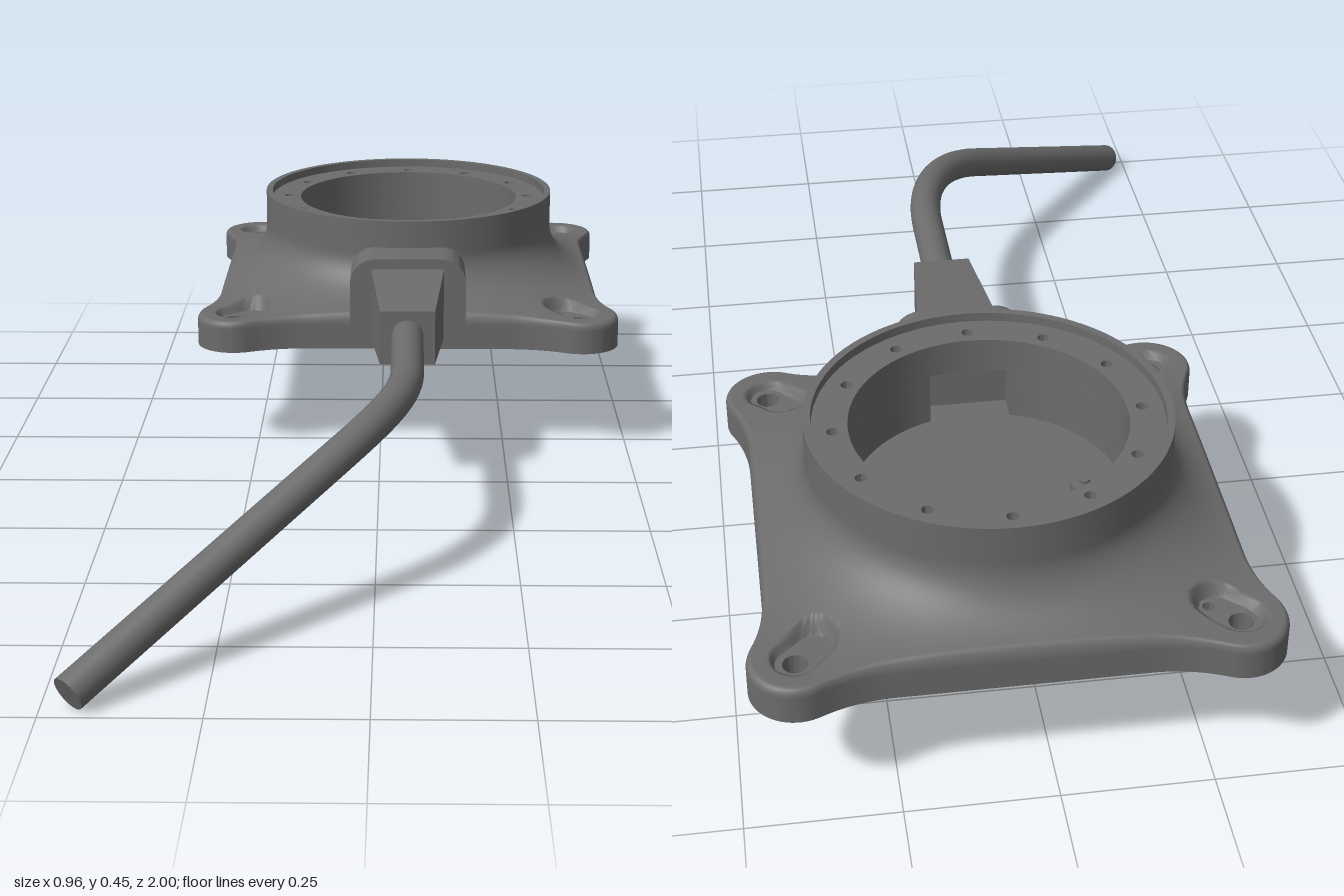
import * as THREE from 'three';
import { toCreasedNormals } from 'three/addons/utils/BufferGeometryUtils.js';

const DARK = 0x6c6c6c;
const grey = new THREE.MeshStandardMaterial({ color: DARK });
const greyDouble = new THREE.MeshStandardMaterial({ color: DARK, side: THREE.DoubleSide });
const greyInside = new THREE.MeshStandardMaterial({ color: DARK, side: THREE.BackSide });

const HOLE = 0.3475;              // screw hole offset from the base centre
const BOTTOM = 0.213, DECK = 0.262, RING = 0.303;
const V2 = (x, y) => new THREE.Vector2(x, y);

function add(parent, name, geometry, material = grey) {
  const mesh = new THREE.Mesh(geometry, material);
  mesh.name = name;
  parent.add(mesh);
  return mesh;
}

function circleHole(x, y, r) {
  return new THREE.Path().absarc(x, y, r, 0, Math.PI * 2, true);
}

// Horizontal slab from a plan shape
function slab(shape, y, depth) {
  const g = new THREE.ExtrudeGeometry(shape, { depth, bevelEnabled: false, curveSegments: 24 });
  g.rotateX(-Math.PI / 2).translate(0, y, 0);
  return toCreasedNormals(g, 0.6);
}

// Square plan with rounded corner lugs and hollowed sides
function outlinePoints(count) {
  const s = new THREE.Shape();
  const a = THREE.MathUtils.degToRad(25), o = V2(0, 0);
  const P = (x, y, k) => V2(x, y).rotateAround(o, k * Math.PI / 2);
  for (let k = 0; k < 4; k++) {
    const p0 = P(0.39, -0.2, k), p1 = P(0.39, 0.2, k), c = P(0.39, 0.26, k);
    const e = P(HOLE + 0.075 * Math.cos(a), HOLE - 0.075 * Math.sin(a), k);
    if (k === 0) s.moveTo(p0.x, p0.y);
    s.lineTo(p1.x, p1.y);
    s.quadraticCurveTo(c.x, c.y, e.x, e.y);
    const m = P(HOLE, HOLE, k), t = k * Math.PI / 2;
    s.absarc(m.x, m.y, 0.075, t - a, t + Math.PI / 2 + a, false);
    const c2 = P(0.26, 0.39, k), q = P(0.2, 0.39, k);
    s.quadraticCurveTo(c2.x, c2.y, q.x, q.y);
  }
  const pts = s.getSpacedPoints(count);
  pts.pop();
  return pts;
}

// Distance from the slot axis that joins a screw hole to its dowel hole
function slotDistance(x, z) {
  const u = (HOLE * 2 - Math.abs(x) - Math.abs(z)) / Math.SQRT2;
  const v = (Math.abs(x) - Math.abs(z)) / Math.SQRT2;
  return Math.hypot(v, u - THREE.MathUtils.clamp(u, 0, 0.045));
}

// Flared skin: a concave fillet from the round collar out to the lugged outline
function flareGeometry(pts) {
  const rows = 64, n = pts.length, pos = [], dist = [], index = [];
  for (let k = 0; k <= rows; k++) {
    const t = (1 - Math.cos(Math.PI * k / rows)) / 2;
    for (const p of pts) {
      const R = p.length(), r = THREE.MathUtils.lerp(RING, R, t);
      const x = p.x / R * r, z = -p.y / R * r;
      const diagonal = Math.pow(2 * Math.abs(p.x * p.y) / (R * R), 2);
      const s = Math.min(1, (r - RING) / (0.115 + 0.1 * diagonal));
      const foot = 0.283 - 0.007 * diagonal;
      let y = foot + (0.383 - foot) * (1 - Math.sqrt(1 - (1 - s) ** 2));
      const e = Math.min(1, (R - r) / 0.012);
      y = DECK + (y - DECK) * Math.sqrt(1 - (1 - e) ** 2);
      const d = slotDistance(x, z);
      y = THREE.MathUtils.lerp(DECK - 0.002, y, THREE.MathUtils.smoothstep(d, 0.03, 0.039));
      pos.push(x, y, z);
      dist.push(d);
    }
  }
  const tri = (...f) => { if (f.some(i => dist[i] > 0.029)) index.push(...f); };
  for (let k = 0; k < rows; k++) for (let j = 0; j < n; j++) {
    const a = k * n + j, d = k * n + (j + 1) % n;
    tri(a, a + n, d + n);
    tri(a, d + n, d);
  }
  const g = new THREE.BufferGeometry();
  g.setAttribute('position', new THREE.Float32BufferAttribute(pos, 3));
  g.setIndex(index);
  g.computeVertexNormals();
  return g;
}

// Square with chamfered corners
function coverPoints(h, c) {
  const pts = [];
  for (let k = 0; k < 4; k++) for (const y of [-(h - c), h - c])
    pts.push(V2(h, y).rotateAround(V2(0, 0), k * Math.PI / 2));
  return pts;
}

function lathe(points, start = 0, length = Math.PI * 2) {
  const g = new THREE.LatheGeometry(points.map(p => V2(...p)), 96, start, length);
  return toCreasedNormals(g, 0.6);
}

function buildBase() {
  const base = new THREE.Group();
  base.name = 'base';
  const pts = outlinePoints(400);

  // Foot slabs with through holes and a recessed bottom cover
  const drilled = () => {
    const s = new THREE.Shape(pts);
    for (const x of [-HOLE, HOLE]) for (const y of [-HOLE, HOLE]) s.holes.push(circleHole(x, y, 0.02));
    const d = HOLE - 0.042;
    s.holes.push(circleHole(-d, d, 0.01), circleHole(d, -d, 0.01));
    return s;
  };
  const rim = drilled();
  rim.holes.push(new THREE.Path(coverPoints(0.36, 0.13).reverse()));
  add(base, 'footRim', slab(rim, BOTTOM, 0.012));
  add(base, 'footPlate', slab(drilled(), BOTTOM + 0.012, DECK - BOTTOM - 0.012));
  add(base, 'bottomCover', slab(new THREE.Shape(coverPoints(0.355, 0.13)), BOTTOM + 0.003, 0.009));
  add(base, 'flaredBody', flareGeometry(pts), greyDouble);

  // Collar with a thin lip around a drilled ledge
  add(base, 'collar', lathe([[RING, 0.382], [RING, 0.453], [0.29, 0.453], [0.29, 0.41], [0.23, 0.41]]), greyDouble);
  const ledge = new THREE.Shape().absarc(0, 0, 0.29, 0, Math.PI * 2, false);
  ledge.holes.push(circleHole(0, 0, 0.23));
  for (let i = 0; i < 12; i++) {
    const a = i * Math.PI / 6;
    ledge.holes.push(circleHole(0.255 * Math.cos(a), 0.255 * Math.sin(a), 0.01));
  }
  add(base, 'boltLedge', slab(ledge, 0.41, 0.027));

  // Well with a cable opening at the front
  const gap = Math.asin(0.07 / 0.23);
  add(base, 'wellWall', lathe([[0.23, 0.411], [0.23, 0.375]]), greyDouble);
  add(base, 'wellLowerWall', lathe([[0.23, 0.375], [0.23, 0.28]], gap, Math.PI * 2 - gap * 2), greyDouble);
  add(base, 'wellFloor', new THREE.CircleGeometry(0.232, 96).rotateX(-Math.PI / 2)).position.y = 0.28;
  add(base, 'cableOpening', new THREE.BoxGeometry(0.14, 0.095, 0.14), greyInside).position.set(0, 0.3275, 0.289);
  add(base, 'floorBoss', new THREE.CylinderGeometry(0.025, 0.025, 0.012, 28)).position.set(-0.163, 0.286, 0);
  add(base, 'floorPin', new THREE.CylinderGeometry(0.01, 0.01, 0.012, 20)).position.set(-0.163, 0.292, 0);

  // Round-shouldered block where the cable enters
  const w = 0.115, top = 0.398, r = 0.05;
  const b = new THREE.Shape();
  b.moveTo(-w, BOTTOM + 0.02);
  b.lineTo(w, BOTTOM + 0.02);
  b.absarc(w - r, top - r, r, 0, Math.PI / 2, false);
  b.absarc(-w + r, top - r, r, Math.PI / 2, Math.PI, false);
  b.closePath();
  const block = new THREE.ExtrudeGeometry(b, { depth: 0.128, bevelEnabled: false, curveSegments: 12 });
  add(base, 'cableBlock', toCreasedNormals(block.translate(0, 0, 0.265), 0.6));
  return base;
}

function buildCable() {
  const cable = new THREE.Group();
  cable.name = 'cable';

  // Tapered square strain relief
  const boot = new THREE.CylinderGeometry(0.052 * Math.SQRT2, 0.073 * Math.SQRT2, 0.24, 4);
  boot.rotateY(Math.PI / 4).rotateX(Math.PI / 2);
  add(cable, 'strainRelief', toCreasedNormals(boot, 0.5)).position.set(0.054, 0.306, -0.075);

  // Cord: straight, one bend, straight
  const V = (x, y, z) => new THREE.Vector3(x, y, z);
  const b0 = V(0.054, 0.31, 0.26), b1 = V(-0.09, 0.247, 0.61), end = V(-0.455, 0.028, 0.977);
  const path = new THREE.CurvePath();
  path.add(new THREE.LineCurve3(V(0.054, 0.31, 0.03), b0));
  path.add(new THREE.CubicBezierCurve3(b0, V(0.054, 0.31, 0.4), V(0.01, 0.307, 0.51), b1));
  path.add(new THREE.LineCurve3(b1, end));
  add(cable, 'cord', new THREE.TubeGeometry(path, 80, 0.03, 28, false));
  const cap = add(cable, 'cordEnd', new THREE.CircleGeometry(0.03, 28), greyDouble);
  cap.position.copy(end);
  cap.lookAt(end.clone().multiplyScalar(2).sub(b1));
  return cable;
}

export function createModel() {
  const model = new THREE.Group();
  model.name = 'cabledFlangeMount';
  const base = buildBase();
  base.position.set(0.055, 0, -0.577);
  model.add(base, buildCable());
  return model;
}
